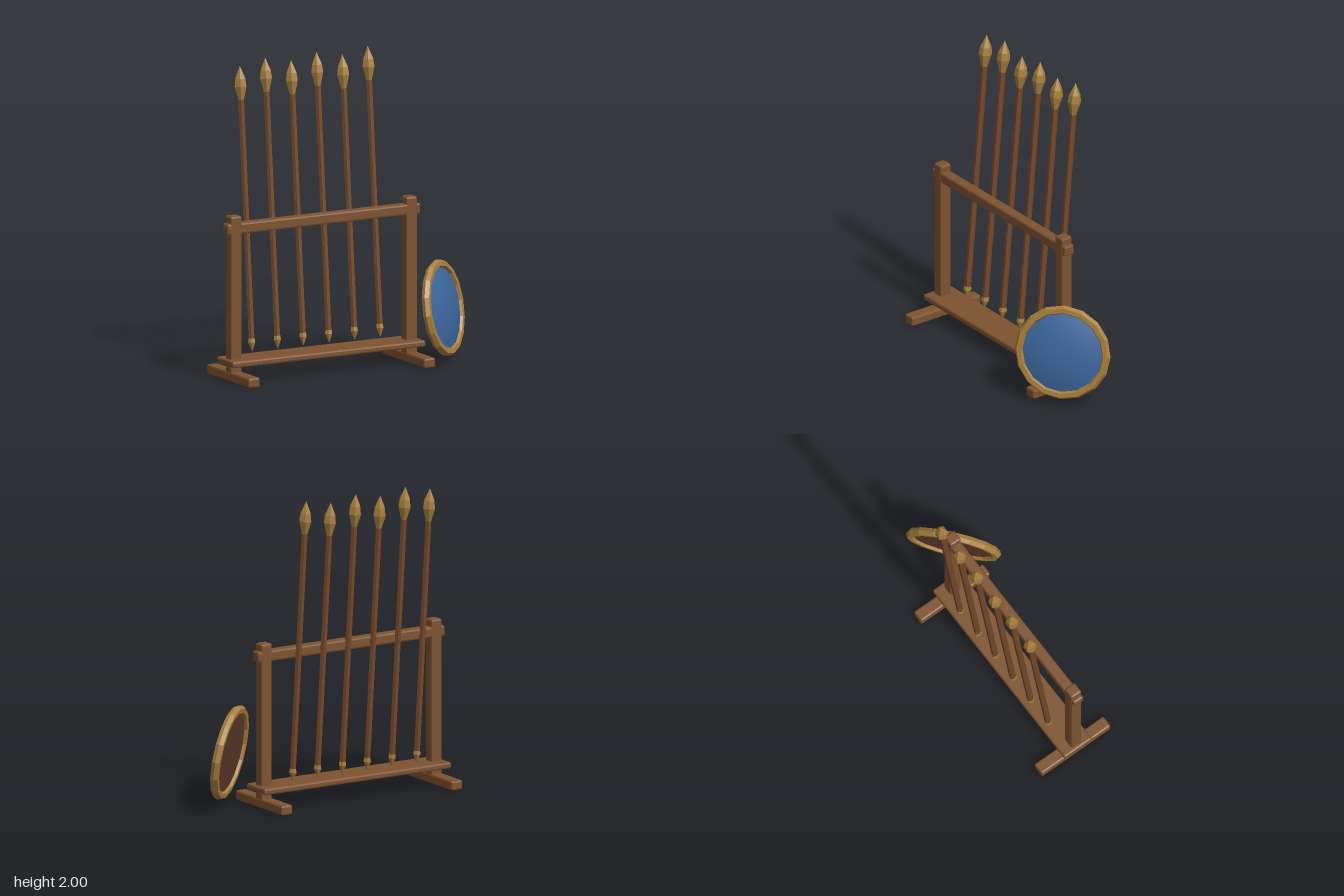
import * as THREE from 'three';
import { RoundedBoxGeometry } from 'three/addons/geometries/RoundedBoxGeometry.js';

const flat = (color, side = THREE.FrontSide) =>
  new THREE.MeshStandardMaterial({ color, flatShading: true, side });

export function createModel() {
  const model = new THREE.Group();
  const wood = flat(0x7d5330);
  const shaftWood = flat(0x75492a);
  const brass = flat(0xa87f3e);

  const add = (parent, name, geometry, material) => {
    const mesh = new THREE.Mesh(geometry, material);
    mesh.name = name;
    parent.add(mesh);
    return mesh;
  };

  // Timber with chamfered edges, given by its lower and upper bounds
  const beam = (parent, name, [x0, x1], [y0, y1], [z0, z1]) =>
    add(parent, name, new RoundedBoxGeometry(x1 - x0, y1 - y0, z1 - z0, 1, 0.012), wood)
      .position.set((x0 + x1) / 2, (y0 + y1) / 2, (z0 + z1) / 2);

  // Rack: two posts on feet, joined by a top rail and a shelf
  const rack = new THREE.Group();
  rack.name = 'rack';
  model.add(rack);
  for (const [side, x] of [['right', -0.81], ['left', 0.46]]) {
    beam(rack, side + 'Foot', [x - 0.041, x + 0.041], [0.003, 0.066], [-0.31, 0.23]);
    beam(rack, side + 'Post', [x - 0.039, x + 0.039], [0.05, 1.062], [-0.075, 0.003]);
  }
  beam(rack, 'topRail', [-0.873, 0.523], [0.945, 1.015], [-0.072, 0]);
  beam(rack, 'shelf', [-0.873, 0.523], [0.104, 0.146], [-0.147, 0.068]);

  // Spears: six-sided, origin at the butt tip, leaning back
  const turned = (points) =>
    new THREE.LatheGeometry(points.map(([r, y]) => new THREE.Vector2(r, y)), 6, Math.PI / 2);
  const makeSpear = (length) => {
    const spear = new THREE.Group();
    const neck = length - 0.22;
    add(spear, 'spearButt', turned([[0, 0], [0.026, 0.06], [0.022, 0.085], [0, 0.085]]), brass);
    add(spear, 'spearShaft', turned([[0, 0.07], [0.021, 0.07], [0.021, neck + 0.005], [0, neck + 0.005]]), shaftWood);
    add(spear, 'spearHead', turned([
      [0, neck - 0.005], [0.017, neck - 0.005], [0.043, neck + 0.09], [0.036, neck + 0.14], [0, length],
    ]), brass);
    return spear;
  };
  for (let i = 0; i < 6; i++) {
    const spear = makeSpear(i % 2 ? 1.847 : 1.813);
    spear.name = 'spear' + (i + 1);
    spear.position.set(-0.64 + i * 0.1855, 0.16, -0.1);
    spear.rotation.x = -0.087;
    model.add(spear);
  }

  // Round shield, turned outwards and leaning back
  const shield = new THREE.Group();
  shield.name = 'shield';
  shield.position.set(0.63, 0.35, 0.098);
  shield.rotation.set(-0.17, THREE.MathUtils.degToRad(40), 0, 'YXZ');
  model.add(shield);
  add(shield, 'shieldRim', new THREE.TorusGeometry(0.28, 0.029, 6, 16), brass);

  // Shallow domed face
  const domePoints = [];
  for (let i = 0; i <= 6; i++) {
    const r = 0.272 * (1 - i / 6);
    domePoints.push(new THREE.Vector2(r, 0.005 + 0.045 * (1 - (r / 0.272) ** 2)));
  }
  const dome = new THREE.LatheGeometry(domePoints, 16, Math.PI / 2).rotateX(Math.PI / 2);
  add(shield, 'shieldFace', dome, new THREE.MeshStandardMaterial({ color: 0x3d689f, side: THREE.DoubleSide }));

  // Flat wooden back
  const back = add(shield, 'shieldBack', new THREE.CircleGeometry(0.275, 16), flat(0x5f3b29, THREE.DoubleSide));
  back.rotation.y = Math.PI;
  back.position.z = -0.008;

  return model;
}
